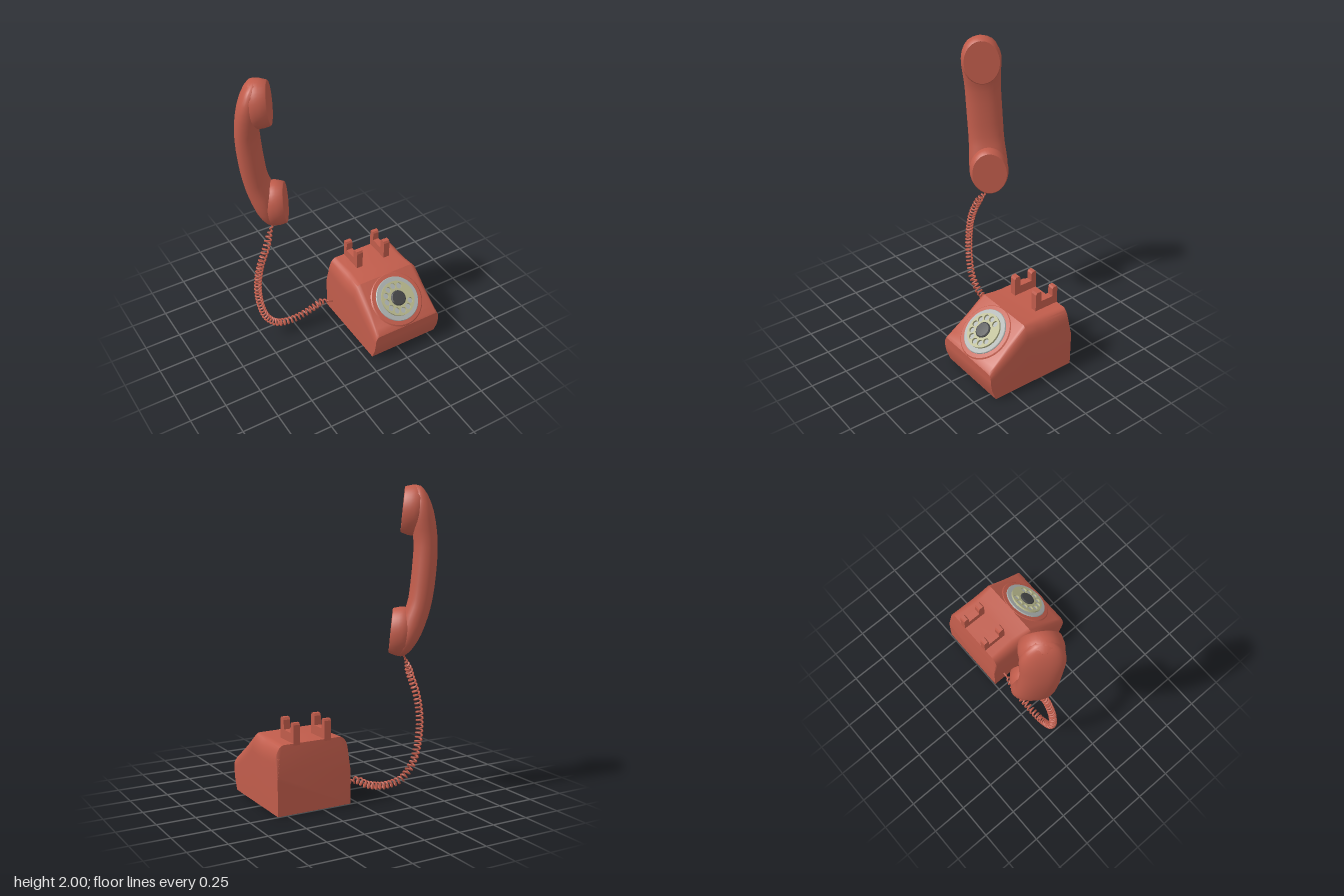
import * as THREE from 'three';
import { toCreasedNormals } from 'three/addons/utils/BufferGeometryUtils.js';

const mat = (name, color) => {
  const m = new THREE.MeshStandardMaterial({ color });
  m.name = name;
  return m;
};

const add = (parent, name, geometry, material) => {
  const mesh = new THREE.Mesh(geometry, material);
  mesh.name = name;
  parent.add(mesh);
  return mesh;
};

// Skin a list of closed rings (counter-clockwise seen from the last ring) and cap both ends
function loft(rings, crease) {
  const n = rings[0].length, last = (rings.length - 1) * n, index = [];
  for (let i = 0; i < rings.length - 1; i++) {
    for (let j = 0; j < n; j++) {
      const a = i * n + j, b = i * n + (j + 1) % n;
      index.push(a, b, b + n, a, b + n, a + n);
    }
  }
  for (let j = 1; j < n - 1; j++) {
    index.push(0, j + 1, j, last, last + j, last + j + 1);
  }
  const g = new THREE.BufferGeometry();
  g.setAttribute('position', new THREE.Float32BufferAttribute(rings.flat(2), 3));
  g.setIndex(index);
  return toCreasedNormals(g, crease);
}

// Upright slice of the housing with rounded shoulders
function bodyRing([z, bottom, top, rx, ry]) {
  const w = 0.256, ring = [[-w, bottom, z], [w, bottom, z]], steps = 7;
  for (let i = 0; i <= steps; i++) {
    const t = i / steps * Math.PI / 2;
    ring.push([w - rx + rx * Math.cos(t), top - ry + ry * Math.sin(t), z]);
  }
  for (let i = steps; i >= 0; i--) {
    const [x, y] = ring[2 + i];
    ring.push([-x, y, z]);
  }
  return ring;
}

// Slice across the handset, from back to front, with a given half width
function handleRing([y, back, front, half]) {
  const ring = [], c = (back + front) / 2, a = (front - back) / 2;
  const soft = v => Math.sign(v) * Math.abs(v) ** 0.88;
  for (let j = 0; j < 32; j++) {
    const t = j / 32 * Math.PI * 2;
    ring.push([c + a * soft(Math.cos(t)), y, -half * soft(Math.sin(t))]);
  }
  return ring;
}

// Helix wound around a guide curve, tapering to a plain wire at both ends
class CoilCurve extends THREE.Curve {
  constructor(path, turns, radius) {
    super();
    Object.assign(this, { path, turns, radius });
  }
  getPoint(t, target = new THREE.Vector3()) {
    const tangent = this.path.getTangentAt(t);
    const side = new THREE.Vector3(0, 0, 1).cross(tangent).normalize();
    const up = tangent.clone().cross(side);
    const r = this.radius * Math.min(1, Math.max(0, t - 0.03) * 25, Math.max(0, 0.985 - t) * 12);
    const a = t * this.turns * Math.PI * 2;
    return target.copy(this.path.getPointAt(t))
      .addScaledVector(side, r * Math.cos(a)).addScaledVector(up, r * Math.sin(a));
  }
}

export function createModel() {
  const red = mat('red plastic', 0xc05c4b);
  const grey = mat('grey metal', 0xa9aeac);
  const olive = mat('pale olive', 0xb4b48a);
  const dark = mat('dark grey', 0x434445);
  const model = new THREE.Group();
  model.name = 'telephone';

  // Housing: z, bottom, top, shoulder width, shoulder height
  const base = new THREE.Group();
  base.name = 'base';
  base.position.x = 0.305;
  model.add(base);
  const sections = [
    [-0.245, 0, 0.25, 0.004, 0.03], [-0.215, 0, 0.44, 0.06, 0.11], [-0.03, 0, 0.438, 0.07, 0.12],
    [0.03, 0, 0.439, 0.065, 0.12], [0.12, 0, 0.445, 0.055, 0.11], [0.25, 0, 0.338, 0.05, 0.1],
    [0.37, 0, 0.243, 0.035, 0.08], [0.4, 0.08, 0.219, 0.03, 0.07], [0.41, 0.14, 0.205, 0.03, 0.05],
  ];
  add(base, 'housing', loft(sections.map(bodyRing), 0.6), red);

  // Cradle: two U-shaped brackets
  const u = new THREE.Shape([
    [0.04, 0.42], [0.04, 0.56], [0.048, 0.575], [0.077, 0.575], [0.086, 0.56], [0.086, 0.5],
    [0.178, 0.5], [0.178, 0.555], [0.186, 0.567], [0.21, 0.567], [0.217, 0.555], [0.217, 0.42],
  ].map(p => new THREE.Vector2(...p)));
  for (const x of [-0.131, 0.087]) {
    const g = new THREE.ExtrudeGeometry(u, { depth: 0.045, bevelEnabled: false });
    g.rotateY(Math.PI / 2);
    add(base, 'cradleBracket', g, red).position.x = x;
  }

  // Dial, stacked along the normal of the sloping front
  const dial = new THREE.Group();
  dial.name = 'dial';
  dial.position.set(0, 0.325, 0.26);
  dial.rotation.x = 0.671;
  base.add(dial);
  const lathe = (pts, seg = 48) => toCreasedNormals(
    new THREE.LatheGeometry(pts.map(p => new THREE.Vector2(...p)), seg), 0.6);
  add(dial, 'dialCollar', lathe([[0.192, -0.03], [0.19, 0.004], [0.182, 0.011], [0.15, 0.013]]), red);
  add(dial, 'dialRing', lathe([[0.155, 0], [0.155, 0.017], [0.151, 0.021], [0, 0.021]]), grey);
  const disc = new THREE.Shape().absarc(0, 0, 0.121, 0, Math.PI * 2);
  for (let i = 0; i < 10; i++) {
    const a = (60 + 30 * i) * Math.PI / 180;
    disc.holes.push(new THREE.Path().absarc(0.088 * Math.cos(a), 0.088 * Math.sin(a), 0.02, 0, Math.PI * 2, true));
  }
  const wheel = new THREE.ExtrudeGeometry(disc, { depth: 0.014, bevelEnabled: false, curveSegments: 24 });
  wheel.rotateX(-Math.PI / 2);
  add(dial, 'fingerWheel', wheel, olive).position.y = 0.0215;
  add(dial, 'dialHub', lathe([[0.053, 0.03], [0.053, 0.041], [0.046, 0.047], [0, 0.049]], 32), dark);

  // Handset: local x faces out of the cups, local y runs along the grip
  const handset = new THREE.Group();
  handset.name = 'handset';
  const out = new THREE.Vector3(0.84, 0, 0.543).normalize();
  const across = new THREE.Vector3(-out.z, 0, out.x);
  const along = new THREE.Vector3(0, 1, 0).addScaledVector(out, -0.09).addScaledVector(across, 0.06).normalize();
  const z = out.clone().cross(along).normalize();
  const x = along.clone().cross(z);
  handset.quaternion.setFromRotationMatrix(new THREE.Matrix4().makeBasis(x, along, z));
  handset.position.set(-0.458, 1.453, -0.29);
  model.add(handset);

  // Grip: distance from middle, back, front, half width
  const half = [
    [0.08, -0.079, 0.076, 0.12], [0.16, -0.074, 0.078, 0.12], [0.22, -0.067, 0.088, 0.122],
    [0.27, -0.058, 0.104, 0.126], [0.33, -0.044, 0.115, 0.131], [0.39, -0.026, 0.118, 0.131],
    [0.44, -0.005, 0.118, 0.122], [0.485, 0.02, 0.118, 0.103], [0.515, 0.043, 0.118, 0.08],
    [0.535, 0.066, 0.116, 0.05], [0.543, 0.085, 0.11, 0.018],
  ];
  const grip = [...half.map(([y, ...r]) => [-y, ...r]).reverse(), [0, -0.08, 0.075, 0.12], ...half];
  add(handset, 'grip', loft(grip.map(handleRing), 1.0), red);

  // Oval cups for ear and mouth
  for (const [name, y] of [['earCup', 0.385], ['mouthCup', -0.385]]) {
    const g = lathe([[0, 0.04], [0.11, 0.045], [0.129, 0.07], [0.132, 0.1], [0.13, 0.125],
      [0.12, 0.166], [0.116, 0.17], [0, 0.17]], 40);
    g.rotateZ(-Math.PI / 2);
    g.scale(1, 1.21, 1);
    add(handset, name, g, red).position.y = y;
  }

  // Coiled cord from the side of the housing up to the handset
  const path = new THREE.CatmullRomCurve3([
    [0.06, 0.095, -0.16], [0.01, 0.11, -0.163], [-0.04, 0.12, -0.17], [-0.12, 0.08, -0.18],
    [-0.25, 0.055, -0.18], [-0.38, 0.08, -0.18], [-0.465, 0.17, -0.18], [-0.505, 0.3, -0.185],
    [-0.515, 0.47, -0.19], [-0.49, 0.63, -0.19], [-0.435, 0.77, -0.195], [-0.39, 0.86, -0.22],
    [-0.34, 0.93, -0.25],
  ].map(p => new THREE.Vector3(...p)));
  add(model, 'coiledCord', new THREE.TubeGeometry(new CoilCurve(path, 48, 0.021), 800, 0.0065, 6), red);

  return model;
}
